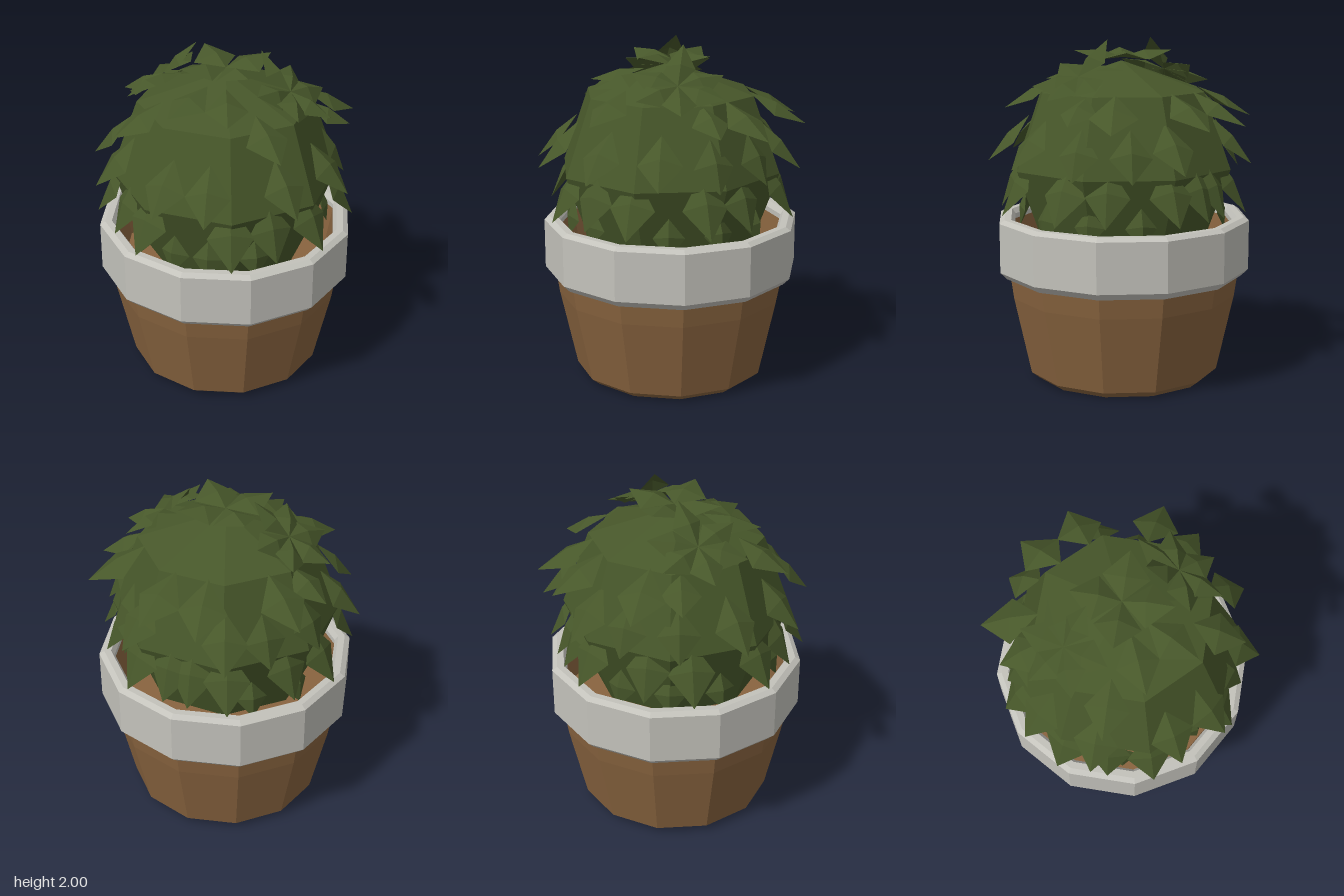
import * as THREE from 'three';

const mat = (name, color) => {
  const m = new THREE.MeshStandardMaterial({ color, side: THREE.DoubleSide });
  m.name = name;
  return m;
};

// Faceted surface of revolution from [radius, height] pairs
function turned(profile, sides, phase = 0) {
  const pts = profile.map(([r, y]) => new THREE.Vector2(r, y));
  const g = new THREE.LatheGeometry(pts, sides, phase).toNonIndexed();
  g.computeVertexNormals();
  return g;
}

// Kite-shaped leaf folded along its midrib, facing away from the bush centre
function leafGeometry(base, tip, width) {
  const dir = tip.clone().sub(base).normalize();
  const out = base.clone().lerp(tip, 0.5).sub(new THREE.Vector3(0, 1.2, 0));
  const side = dir.clone().cross(out).normalize();
  const normal = side.clone().cross(dir).normalize();
  const rib = base.clone().lerp(tip, 0.45).addScaledVector(normal, 0.025);
  const edge = (s) => base.clone().lerp(tip, 0.5)
    .addScaledVector(side, s * width / 2).addScaledVector(normal, -0.025);
  const l = edge(1), r = edge(-1);
  const g = new THREE.BufferGeometry().setFromPoints(
    [base, rib, l, l, rib, tip, base, r, rib, r, tip, rib]);
  g.computeVertexNormals();
  return g;
}

export function createModel() {
  const model = new THREE.Group();
  model.name = 'pottedBush';
  const clay = mat('clay brown', 0x89643f);
  const stone = mat('stone grey', 0xc3c2bb);
  const green = mat('leaf green', 0x47572a);

  const add = (name, geometry, material, z = 0) => {
    const mesh = new THREE.Mesh(geometry, material);
    mesh.name = name;
    mesh.position.z = z;
    model.add(mesh);
  };

  // Pot, its inner wall and the thick rim
  add('pot', turned([[0, 0], [0.52, 0], [0.57, 0.04], [0.67, 0.5], [0.69, 0.64]], 12), clay, -0.01);
  add('potInside', turned([[0.66, 0.91], [0.62, 0.68], [0, 0.68]], 12), clay, -0.01);
  add('rim', turned([[0.67, 0.62], [0.71, 0.62], [0.75, 0.66], [0.75, 0.95], [0.72, 0.97],
    [0.68, 0.97], [0.66, 0.94], [0.66, 0.9]], 12), stone, -0.01);

  // Eight-sided bush core
  add('bushCore', turned([[0, 0.66], [0.5, 0.82], [0.66, 1.26], [0.5, 1.7], [0, 1.87]],
    8, Math.PI / 8), green);

  // Each leaf is placed on the left and mirrored to the right
  const mirror = new THREE.Vector3(-1, 1, 1);
  const addLeaf = (base, tip, width) => {
    add('leafLeft', leafGeometry(base, tip, width), green);
    add('leafRight', leafGeometry(base.clone().multiply(mirror), tip.clone().multiply(mirror), width), green);
  };

  // Crown of four leaves
  for (const z of [-0.21, 0.19]) {
    addLeaf(new THREE.Vector3(0, 1.89, -0.01), new THREE.Vector3(0.2, 1.93, z), 0.26);
  }

  // Star of leaves on each shoulder, one of them upright
  const star = new THREE.Vector3(0.38, 1.8, -0.01);
  addLeaf(star, new THREE.Vector3(0.19, 2, -0.06), 0.17);
  for (const deg of [-28, 30, 88, 150, 200]) {
    const a = THREE.MathUtils.degToRad(deg);
    const x = 0.24 * Math.sin(a), z = 0.28 * Math.cos(a);
    addLeaf(star, new THREE.Vector3(x, -0.5 * x, z).add(star), 0.2);
  }

  // Drooping rows: radius and height of base and tip, leaf angles from the front
  const rows = [
    { base: [0.15, 1.83], tip: [0.48, 1.75], width: 0.24, angles: [21] },
    { base: [0.38, 1.76], tip: [0.68, 1.6], width: 0.25, angles: [45] },
    { base: [0.46, 1.7], tip: [0.71, 1.56], width: 0.22, angles: [107] },
    { base: [0.46, 1.71], tip: [0.79, 1.53], width: 0.27, angles: [127, 168] },
    { base: [0.54, 1.56], tip: [0.78, 1.3], width: 0.25, angles: [11, 49, 80, 157] },
    { base: [0.55, 1.53], tip: [0.69, 1.25], width: 0.24, angles: [108, 136] },
    { base: [0.57, 1.34], tip: [0.75, 1.01], width: 0.26, angles: [22, 66, 102, 156] },
    { base: [0.57, 1.34], tip: [0.71, 1.01], width: 0.25, angles: [43, 124, 174] },
    { base: [0.57, 1.1], tip: [0.61, 0.88], width: 0.18, angles: [10, 36, 84, 113, 142] },
  ];
  for (const { base, tip, width, angles } of rows) {
    for (const deg of angles) {
      const a = THREE.MathUtils.degToRad(deg);
      const at = ([r, y]) => new THREE.Vector3(r * Math.sin(a), y, r * Math.cos(a));
      addLeaf(at(base), at(tip), width);
    }
  }
  return model;
}
